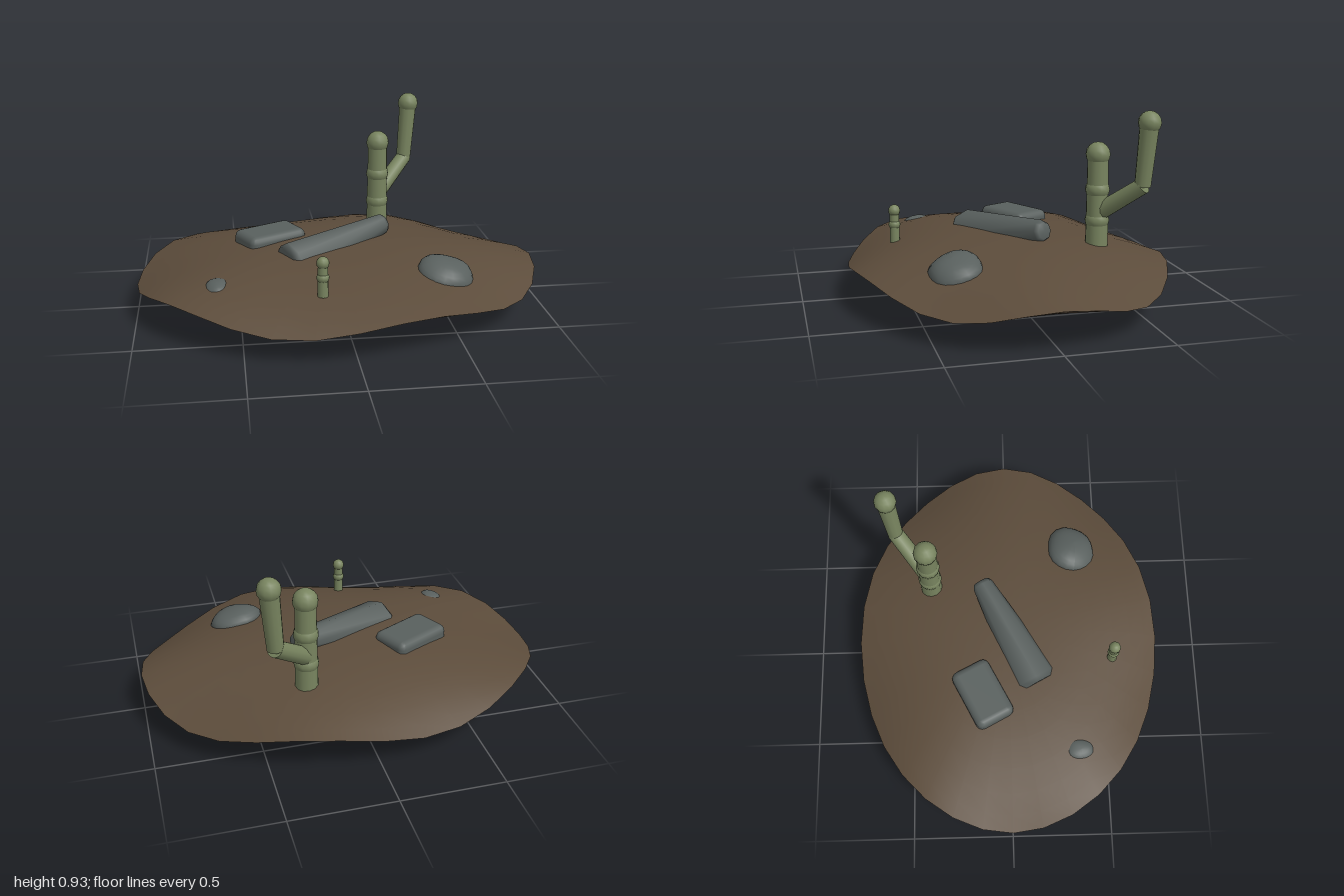
import * as THREE from 'three';
import { mergeVertices } from 'three/addons/utils/BufferGeometryUtils.js';
import { RoundedBoxGeometry } from 'three/addons/geometries/RoundedBoxGeometry.js';

const UP = new THREE.Vector3(0, 1, 0);

export function createModel() {
  const soil = new THREE.MeshStandardMaterial({ color: 0x5c4c3b });
  soil.name = 'soil';
  const stone = new THREE.MeshStandardMaterial({ color: 0x59605e });
  stone.name = 'stone';
  const stalk = new THREE.MeshStandardMaterial({ color: 0x78845f });
  stalk.name = 'stalk green';

  const model = new THREE.Group();
  model.name = 'mound';

  function add(parent, name, geometry, material, x = 0, y = 0, z = 0) {
    const mesh = new THREE.Mesh(geometry, material);
    mesh.name = name;
    mesh.position.set(x, y, z);
    parent.add(mesh);
    return mesh;
  }

  // Places a geometry built along +y (centred) between two points
  function addBetween(parent, name, geometry, material, a, b) {
    const from = new THREE.Vector3(...a), to = new THREE.Vector3(...b);
    const mid = from.clone().lerp(to, 0.5);
    const mesh = add(parent, name, geometry, material, mid.x, mid.y, mid.z);
    mesh.quaternion.setFromUnitVectors(UP, to.sub(from).normalize());
    return mesh;
  }

  // Ground: domed top and shallow underside meeting at a sharp elliptical rim with five waves
  const radii = [0, 0.14, 0.28, 0.42, 0.56, 0.7, 0.82, 0.92, 1];
  function addGround(name, centre, power, outline) {
    let geo = new THREE.LatheGeometry(outline.map(r => new THREE.Vector2(r, 0)), 32);
    const p = geo.attributes.position;
    for (let i = 0; i < p.count; i++) {
      const x = p.getX(i), z = p.getZ(i);
      const r = Math.hypot(x, z);
      const wave = 0.035 * Math.cos(5 * Math.atan2(z, x)) * r ** 4;
      p.setXYZ(i, x, centre + (0.155 - centre) * r ** power + wave, z * 0.775);
    }
    geo.deleteAttribute('uv');
    geo.deleteAttribute('normal');
    geo = mergeVertices(geo, 1e-4);
    geo.computeVertexNormals();
    add(model, name, geo, soil);
  }
  addGround('groundTop', 0.3, 2.7, [...radii].reverse());
  addGround('groundUnderside', 0, 2, radii);

  // Straight stalk with swollen joints and a round cap
  function addStalk(name, x, z, base, top, radius, capRadius, joints) {
    const group = new THREE.Group();
    group.name = name;
    group.position.set(x, 0, z);
    const h = top - base;
    add(group, 'stem', new THREE.CylinderGeometry(radius * 0.95, radius * 1.05, h, 12), stalk, 0, top - h / 2, 0);
    for (const y of joints) {
      add(group, 'joint', new THREE.SphereGeometry(capRadius, 12, 8), stalk, 0, y, 0).scale.y = 0.9;
    }
    add(group, 'cap', new THREE.SphereGeometry(capRadius, 12, 8), stalk, 0, top, 0);
    model.add(group);
  }
  addStalk('tallStalk', 0.265, -0.395, 0.255, 0.705, 0.053, 0.06, [0.385, 0.535]);
  addStalk('smallStalk', -0.135, 0.53, 0.235, 0.395, 0.024, 0.03, [0.325]);

  // Side branch: slanted arm, upright arm and its cap
  const branch = new THREE.Group();
  branch.name = 'branch';
  model.add(branch);
  const start = [0.265, 0.42, -0.4], elbow = [0.437, 0.575, -0.555], tip = [0.46, 0.875, -0.572];
  addBetween(branch, 'lowerArm', new THREE.CylinderGeometry(0.04, 0.044, 0.29, 12), stalk, start, elbow);
  addBetween(branch, 'upperArm', new THREE.CylinderGeometry(0.046, 0.039, 0.3, 12), stalk, elbow, tip);
  add(branch, 'branchCap', new THREE.SphereGeometry(0.055, 12, 8), stalk, ...tip);

  // Half-buried slab with rounded edges
  const slab = add(model, 'slab', new RoundedBoxGeometry(0.32, 0.13, 0.205, 2, 0.035), stone, -0.33, 0.27, -0.137);
  slab.rotation.y = 0.47;

  // Fallen tapered column with bevelled ends
  const L = 0.3;
  const column = new THREE.LatheGeometry([
    [0, -L], [0.095, -L], [0.118, -L + 0.03], [0.054, L - 0.02], [0.042, L], [0, L],
  ].map(([r, y]) => new THREE.Vector2(r, y)), 8);
  column.rotateY(Math.PI / 8);
  addBetween(model, 'fallenColumn', column, stone, [-0.263, 0.23, 0.145], [0.26, 0.343, -0.135]);

  // Boulders: flattened, slightly lumpy balls
  function addBoulder(name, position, scale, tilt) {
    const geo = new THREE.SphereGeometry(1, 20, 14);
    const q = geo.attributes.position;
    for (let i = 0; i < q.count; i++) {
      const x = q.getX(i), y = q.getY(i), z = q.getZ(i);
      const k = 1 + 0.04 * Math.sin(4 * x + 1) * Math.cos(3 * z - 2 * y);
      q.setXYZ(i, x * k, y * k, z * k);
    }
    geo.computeVertexNormals();
    const mesh = add(model, name, geo, stone, ...position);
    mesh.scale.set(...scale);
    mesh.rotation.set(tilt[0], 0, tilt[1]);
  }
  addBoulder('boulder', [0.475, 0.237, 0.345], [0.139, 0.074, 0.127], [0.25, -0.2]);
  addBoulder('pebble', [-0.61, 0.226, 0.345], [0.055, 0.03, 0.07], [0.15, 0.12]);

  return model;
}
